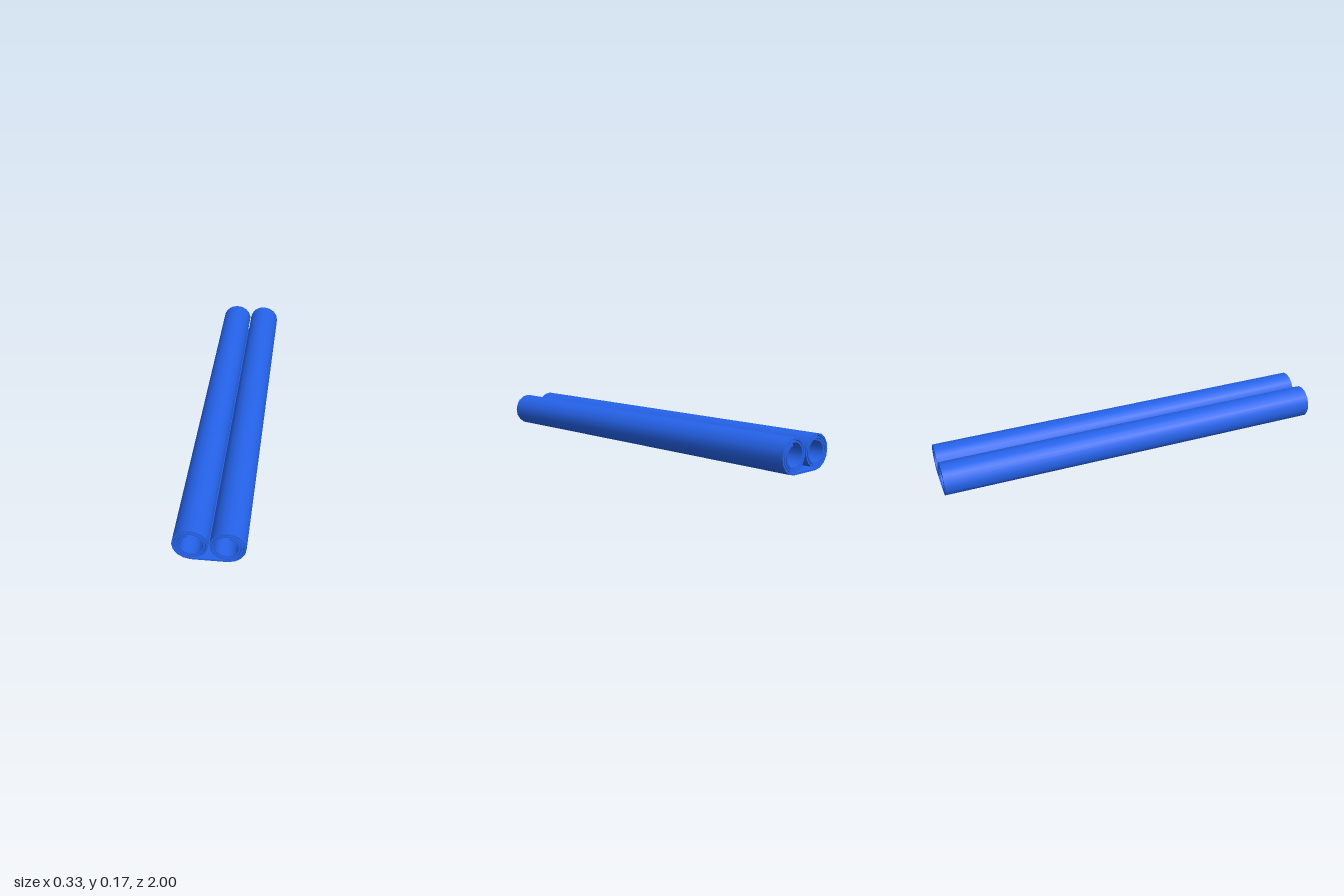
import * as THREE from 'three';
import { toCreasedNormals } from 'three/addons/utils/BufferGeometryUtils.js';

const CX = 0.08, CY = 0.0873;      // centre of each roll
const R0 = 0.0828, PITCH = 0.0127; // outer radius and tightening per turn
const TURNS = 2.46, STEPS = 40;
const HALF = 0.0045;               // half the sheet thickness
const LENGTH = 2;
const SCALE = 100;                 // work enlarged so thin layers stay distinct when normals are smoothed

// Centre line of one roll, from the flat base inwards
function spiral() {
  const pts = [];
  for (let i = 0; i <= STEPS; i++) {
    const t = (i / STEPS) * TURNS;
    const a = t * Math.PI * 2 - Math.PI / 2;
    const r = R0 - PITCH * t;
    pts.push(new THREE.Vector2(CX + r * Math.cos(a), CY + r * Math.sin(a)));
  }
  return pts;
}

// Outline of constant thickness around an open line
function thicken(line, half) {
  const left = [], right = [];
  line.forEach((p, i) => {
    const before = line[Math.max(i - 1, 0)];
    const after = line[Math.min(i + 1, line.length - 1)];
    const d = after.clone().sub(before).normalize();
    const n = new THREE.Vector2(-d.y, d.x).multiplyScalar(half);
    left.push(p.clone().add(n));
    right.push(p.clone().sub(n));
  });
  return [...right, ...left.reverse()];
}

export function createModel() {
  const group = new THREE.Group();
  group.name = 'doubleScroll';

  // One continuous sheet: left roll, flat base, right roll
  const rightRoll = spiral();
  const leftRoll = rightRoll.map(p => new THREE.Vector2(-p.x, p.y)).reverse();
  const outline = thicken([...leftRoll, ...rightRoll], HALF).map(p => p.multiplyScalar(SCALE));
  outline.forEach(p => { p.y = Math.max(p.y, 0); });

  let geometry = new THREE.ExtrudeGeometry(new THREE.Shape(outline), {
    depth: LENGTH * SCALE, bevelEnabled: false,
  });
  geometry = toCreasedNormals(geometry, Math.PI / 5);
  geometry.scale(1 / SCALE, 1 / SCALE, 1 / SCALE);
  geometry.translate(0, 0, -LENGTH / 2);

  const sheet = new THREE.Mesh(geometry, new THREE.MeshStandardMaterial({ color: 0x2563eb }));
  sheet.name = 'rolledSheet';
  group.add(sheet);
  return group;
}
